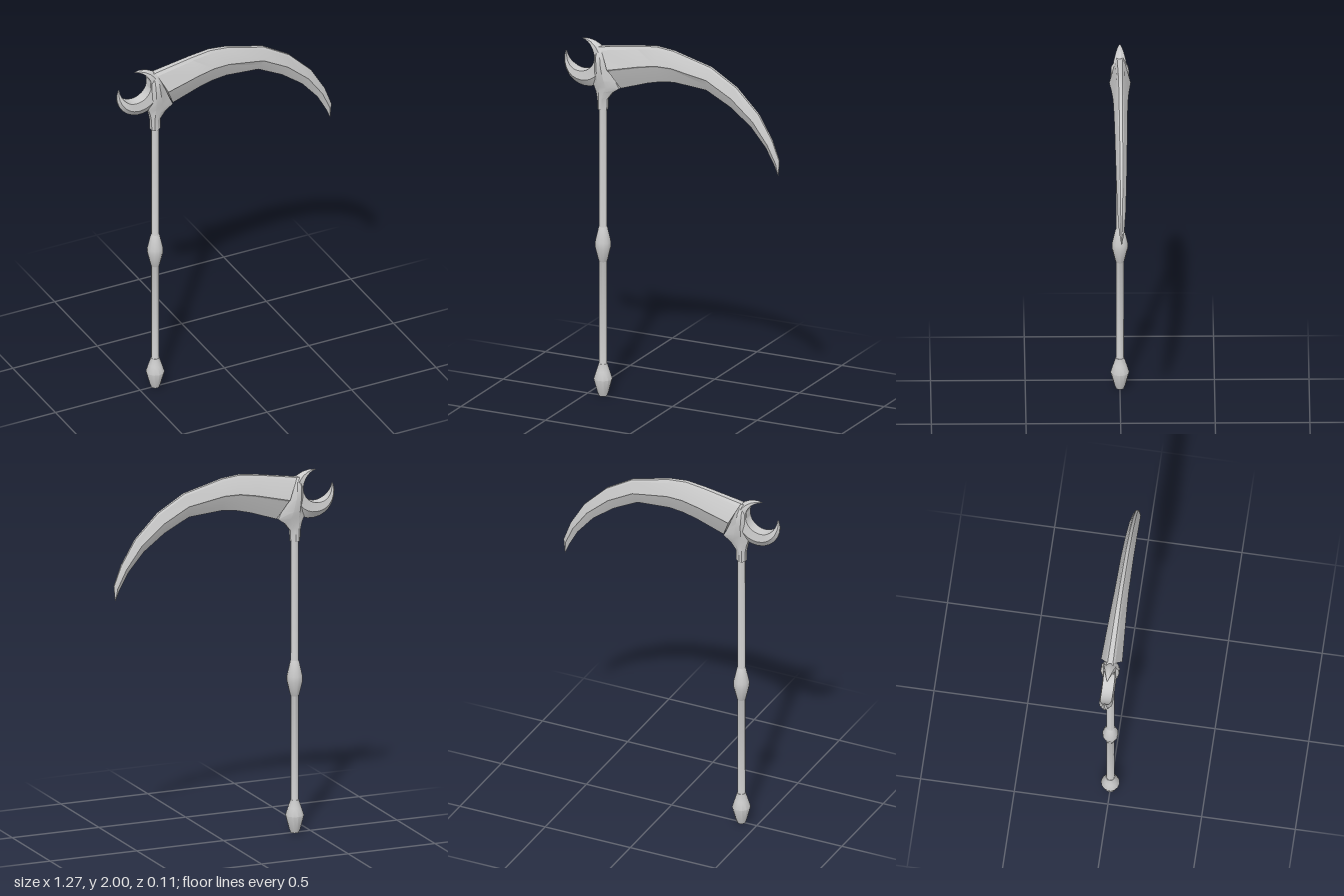
import * as THREE from 'three';
import { toCreasedNormals } from 'three/addons/utils/BufferGeometryUtils.js';

const material = new THREE.MeshStandardMaterial({ color: 0xcccccc });
const SHAFT_X = -0.41;

function part(name, geometry, crease = 0.45) {
  const mesh = new THREE.Mesh(toCreasedNormals(geometry, crease), material);
  mesh.name = name;
  return mesh;
}

// Skin a row of closed cross-sections, cap both ends and face everything outward.
function loft(sections) {
  const tris = [];
  const n = sections[0].length;
  for (let i = 0; i < sections.length - 1; i++) {
    const a = sections[i], b = sections[i + 1];
    for (let j = 0; j < n; j++) {
      const k = (j + 1) % n;
      tris.push([a[j], b[j], b[k]], [a[j], b[k], a[k]]);
    }
  }
  const cap = (s, flip) => {
    const c = s.reduce((sum, p) => sum.add(p), new THREE.Vector3()).divideScalar(n);
    s.forEach((p, j) => {
      const q = s[(j + 1) % n];
      tris.push(flip ? [c, q, p] : [c, p, q]);
    });
  };
  cap(sections[0], false);
  cap(sections[sections.length - 1], true);

  const cross = new THREE.Vector3();
  const volume = tris.reduce((v, [a, b, c]) => v + a.dot(cross.crossVectors(b, c)), 0);
  if (volume < 0) tris.forEach((t) => t.reverse());
  const geometry = new THREE.BufferGeometry().setFromPoints(tris.flat());
  geometry.computeVertexNormals();
  return geometry;
}

// Mirrored section between two points: profile rows are [fraction across, half thickness].
function bladeSection(from, to, profile) {
  const at = (f, z) => new THREE.Vector3(
    THREE.MathUtils.lerp(from[0], to[0], f), THREE.MathUtils.lerp(from[1], to[1], f), z);
  const front = profile.map(([f, z]) => at(f, z));
  const back = profile.filter(([, z]) => z > 0).map(([f, z]) => at(f, -z)).reverse();
  return [...front, ...back];
}

// Long handle with pommel and grip swelling
function createHandle() {
  const profile = [
    [0, 0], [0.022, 0], [0.03, 0.02], [0.05, 0.095], [0.036, 0.14], [0.023, 0.18],
    [0.021, 0.18], [0.021, 0.75], [0.024, 0.755], [0.042, 0.83], [0.042, 0.86],
    [0.024, 0.94], [0.021, 0.945], [0.021, 1.72], [0, 1.72],
  ].map(([r, y]) => new THREE.Vector2(r, y));
  const mesh = part('handle', new THREE.LatheGeometry(profile, 12), 0.6);
  mesh.position.x = SHAFT_X;
  return mesh;
}

// Flared socket joining handle, blade and crescent: [y, left, right, half depth]
function createSocket() {
  const levels = [
    [1.60, -0.436, -0.384, 0.026], [1.66, -0.438, -0.382, 0.026],
    [1.70, -0.446, -0.352, 0.028], [1.73, -0.457, -0.31, 0.032],
    [1.77, -0.455, -0.33, 0.042], [1.84, -0.45, -0.36, 0.05],
    [1.90, -0.45, -0.372, 0.046], [1.95, -0.44, -0.40, 0.018],
  ];
  return part('socket', loft(levels.map(([y, l, r, d]) => {
    const w = r - l;
    return [
      [l, d * 0.5], [l + w * 0.25, d], [r - w * 0.45, d], [r, d * 0.35],
      [r, -d * 0.35], [r - w * 0.45, -d], [l + w * 0.25, -d], [l, -d * 0.5],
    ].map(([x, z]) => new THREE.Vector3(x, y, z));
  })), 0.5);
}

// Curved blade: [spine x, y, cutting edge x, y, half thickness at the ridge]
function createBlade() {
  const stations = [
    [-0.415, 1.95, -0.305, 1.73, 0.057], [-0.20, 1.985, -0.15, 1.783, 0.047],
    [-0.09, 1.998, -0.07, 1.803, 0.042], [0.01, 1.988, 0.01, 1.812, 0.038],
    [0.23, 1.93, 0.20, 1.797, 0.034], [0.38, 1.84, 0.34, 1.725, 0.031],
    [0.51, 1.71, 0.46, 1.635, 0.027], [0.59, 1.577, 0.55, 1.53, 0.022],
    [0.632, 1.466, 0.60, 1.44, 0.014], [0.626, 1.385, 0.623, 1.385, 0.002],
  ];
  return part('blade', loft(stations.map(([sx, sy, ex, ey, w]) => bladeSection(
    [sx, sy], [ex, ey],
    [[0, w * 0.25], [0.07, w * 0.45], [0.5, w], [0.54, w * 0.85], [0.75, w * 0.5], [1, 0]],
  ))), 0.3);
}

// Crescent hook behind the blade, swept between two off-centre arcs
function createCrescent() {
  const steps = 20, sections = [];
  const arc = (cx, cy, r, degrees) => {
    const a = THREE.MathUtils.degToRad(degrees);
    return [cx + r * Math.cos(a), cy + r * Math.sin(a)];
  };
  for (let i = 0; i <= steps; i++) {
    const u = i / steps;
    const inner = arc(-0.535, 1.89, 0.088, 178 + 270 * u);
    const outer = arc(-0.505, 1.85, 0.133, 161 + 299 * u);
    const d = 0.003 + 0.033 * Math.min(1, 1.5 * Math.sin(Math.PI * u));
    sections.push(bladeSection(inner, outer, [[0, d * 0.85], [0.55, d], [1, d * 0.25]]));
  }
  return part('crescent', loft(sections), 0.4);
}

export function createModel() {
  const model = new THREE.Group();
  model.name = 'scythe';
  model.add(createHandle(), createSocket(), createBlade(), createCrescent());
  return model;
}
